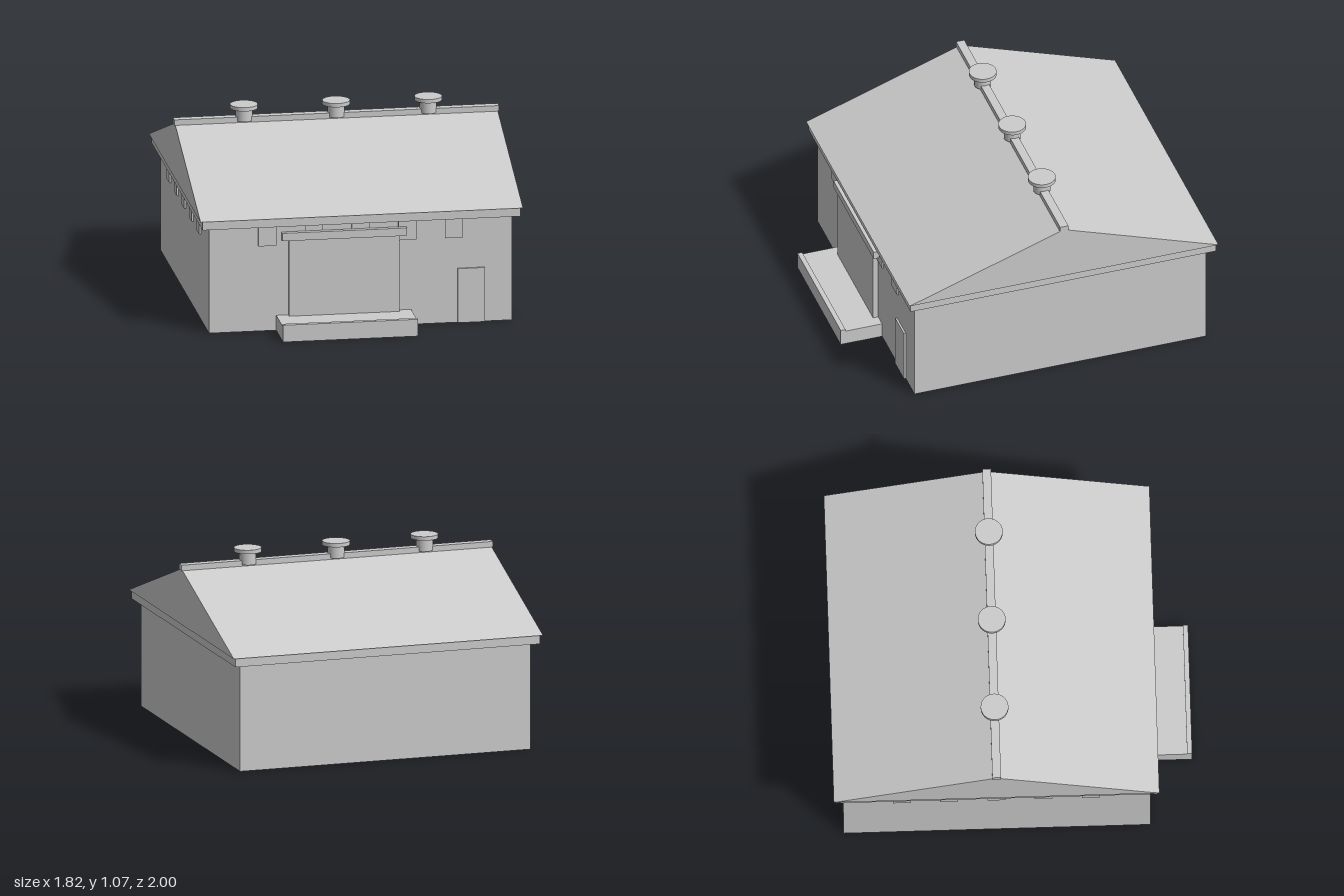
import * as THREE from 'three';

export function createModel() {
  const group = new THREE.Group();
  const grey = new THREE.MeshStandardMaterial({ color: 0xcccccc });
  grey.name = 'light grey';

  const add = (name, geometry, x = 0, y = 0, z = 0) => {
    const mesh = new THREE.Mesh(geometry, grey);
    mesh.name = name;
    mesh.position.set(x, y, z);
    group.add(mesh);
    return mesh;
  };
  // Box given by its limits on each axis
  const box = (name, x0, x1, y0, y1, z0, z1) =>
    add(name, new THREE.BoxGeometry(x1 - x0, y1 - y0, z1 - z0),
      (x0 + x1) / 2, (y0 + y1) / 2, (z0 + z1) / 2);

  const ridgeZ = -0.097;

  // Main hall and the band under the eaves
  box('walls', -0.85, 0.85, 0, 0.61, -0.945, 0.758);
  box('eavesBand', -0.892, 0.892, 0.605, 0.657, -0.988, 0.795);

  // Gable roof: a triangle in z and y, extruded along x
  const gable = new THREE.Shape();
  gable.moveTo(-0.805, 0.655);
  gable.lineTo(1.0, 0.655);
  gable.lineTo(-ridgeZ, 0.972);
  gable.closePath();
  const roofGeometry = new THREE.ExtrudeGeometry(gable, { depth: 1.81, bevelEnabled: false });
  roofGeometry.translate(0, 0, -0.905);
  roofGeometry.rotateY(Math.PI / 2);
  add('roof', roofGeometry);
  box('ridgeCap', -0.911, 0.911, 0.965, 0.997, ridgeZ - 0.024, ridgeZ + 0.024);

  // Round ridge vents
  for (const x of [-0.517, 0, 0.517]) {
    add('ventStem', new THREE.CylinderGeometry(0.047, 0.047, 0.075, 32), x, 1.0105, ridgeZ);
    add('ventCollar', new THREE.CylinderGeometry(0.052, 0.052, 0.012, 32), x, 1.038, ridgeZ);
    add('ventCap', new THREE.CylinderGeometry(0.077, 0.077, 0.022, 32), x, 1.054, ridgeZ);
  }

  // High windows on the front and on the right wall
  for (let i = -2; i <= 2; i++) {
    const x = i * 0.262;
    box('frontWindow', x - 0.05, x + 0.05, 0.49, 0.6, 0.753, 0.768);
    const z = ridgeZ + i * 0.262;
    box('sideWindow', -0.86, -0.845, 0.49, 0.6, z - 0.05, z + 0.05);
  }

  // Sliding door with its rail, and the small door
  box('slidingDoor', -0.405, 0.215, 0.085, 0.53, 0.755, 0.788);
  box('doorRail', -0.445, 0.255, 0.523, 0.568, 0.768, 0.798);
  box('smallDoor', 0.545, 0.698, 0, 0.312, 0.753, 0.769);

  // Loading platform with a raised front lip
  box('platform', -0.473, 0.284, 0, 0.086, 0.755, 0.975);
  box('platformLip', -0.473, 0.284, 0, 0.097, 0.972, 1.0);

  return group;
}
